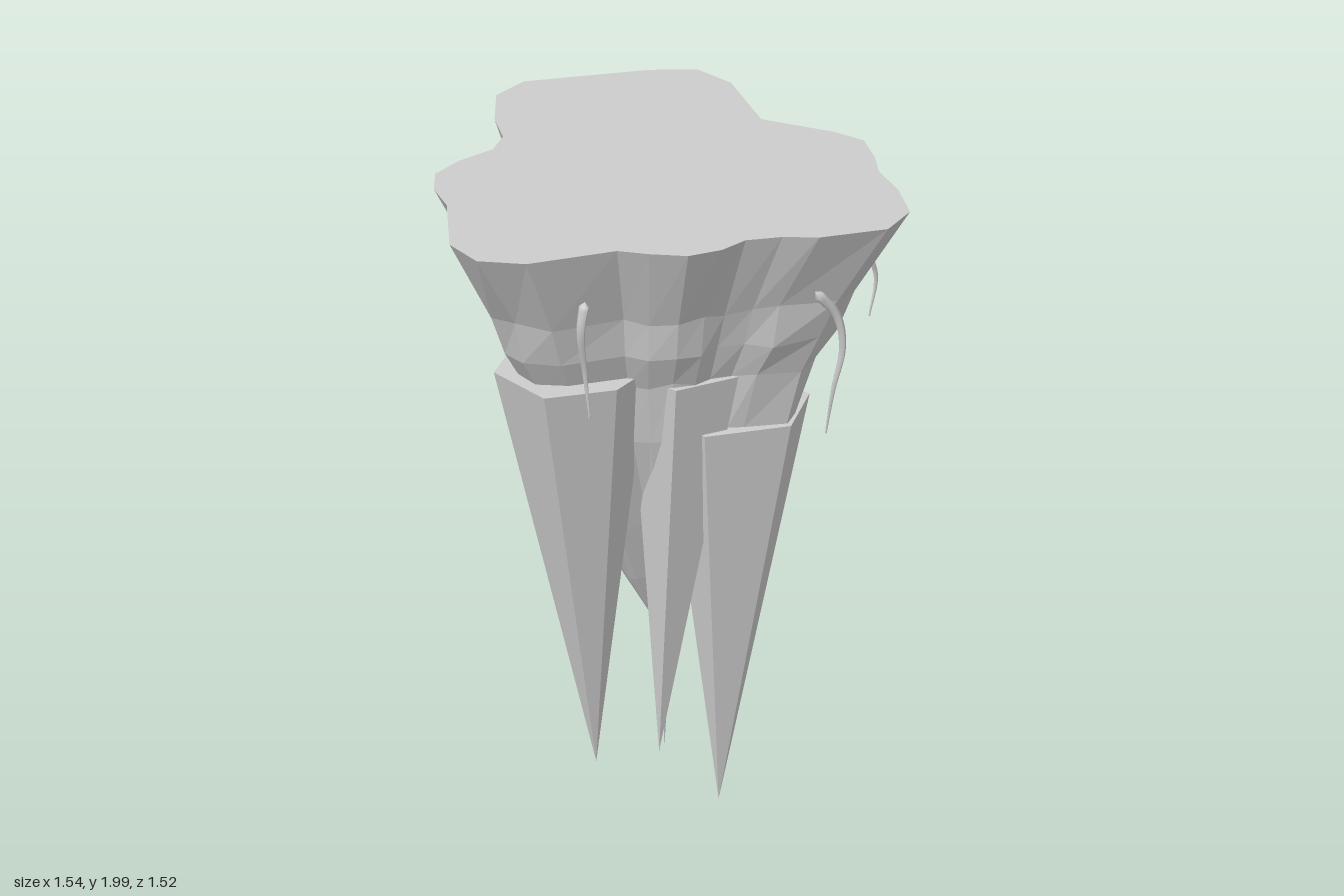
import * as THREE from 'three';

const stone = new THREE.MeshStandardMaterial({ color: 0xcccccc, flatShading: true });
stone.name = 'paleStone';
const rootMat = new THREE.MeshStandardMaterial({ color: 0xcccccc });
rootMat.name = 'paleRoot';

// Island rim as [x, z], anticlockwise seen from above
const rim = [
  [-0.04, 0.76], [0.09, 0.68], [0.24, 0.43], [0.33, 0.385], [0.43, 0.32], [0.48, 0.22],
  [0.49, 0.12], [0.56, 0.03], [0.65, -0.04], [0.77, -0.22], [0.74, -0.36], [0.61, -0.46],
  [0.48, -0.525], [0.4, -0.6], [0.3, -0.67], [0.19, -0.66], [-0.04, -0.59], [-0.28, -0.735],
  [-0.42, -0.745], [-0.53, -0.65], [-0.77, -0.34], [-0.77, -0.21], [-0.66, -0.07],
  [-0.56, 0.01], [-0.525, 0.1], [-0.55, 0.23], [-0.545, 0.35], [-0.475, 0.44],
  [-0.37, 0.505], [-0.18, 0.72],
];

// Small repeatable unevenness, -1 to 1
const rough = (n) => {
  const s = Math.sin(n * 127.1) * 43758.5453;
  return 2 * (s - Math.floor(s)) - 1;
};

// Skin stacked rings from top to bottom, closing on a tip
function loft(rings, tip) {
  const n = rings[0].length;
  const index = [];
  for (let r = 0; r < rings.length; r++) {
    for (let i = 0; i < n; i++) {
      const a = r * n + i, b = r * n + (i + 1) % n;
      if (r === rings.length - 1) index.push(a, rings.length * n, b);
      else index.push(a, a + n, b, b, a + n, b + n);
    }
  }
  const g = new THREE.BufferGeometry();
  g.setAttribute('position', new THREE.Float32BufferAttribute([...rings.flat(), tip].flat(), 3));
  g.setIndex(index);
  g.computeVertexNormals();
  return g;
}

// Flat horizontal lid on an outline
function lid(outline, y) {
  const shape = new THREE.Shape(outline.map(([x, z]) => new THREE.Vector2(x, -z)));
  return new THREE.ShapeGeometry(shape).rotateX(-Math.PI / 2).translate(0, y, 0);
}

function add(parent, name, geometry, material = stone) {
  const mesh = new THREE.Mesh(geometry, material);
  mesh.name = name;
  parent.add(mesh);
}

function spike(name, outline, y, tip) {
  const g = new THREE.Group();
  g.name = name;
  add(g, name + 'Sides', loft([outline.map(([x, z]) => [x, y, z])], tip));
  add(g, name + 'Top', lid(outline, y));
  return g;
}

// Tube that narrows along its path and closes at both ends
function root(points, radius) {
  const path = new THREE.CatmullRomCurve3(points.map((p) => new THREE.Vector3(...p)));
  const segs = 28, sides = 7;
  const g = new THREE.TubeGeometry(path, segs, radius, sides);
  const pos = g.attributes.position, v = new THREE.Vector3();
  for (let i = 0; i < pos.count; i++) {
    const t = Math.floor(i / (sides + 1)) / segs;
    const k = t === 0 ? 0 : 1 - 0.85 * t;
    const c = path.getPointAt(t);
    v.fromBufferAttribute(pos, i).sub(c).multiplyScalar(k).add(c);
    pos.setXYZ(i, v.x, v.y, v.z);
  }
  g.computeVertexNormals();
  return g;
}

export function createModel() {
  const model = new THREE.Group();
  model.name = 'floatingRock';

  // Rock body: rim shrunk level by level [height, scale, x shift, roughness]
  const levels = [
    [2, 1, 0, 0], [1.72, 0.78, 0, 0.015], [1.59, 0.725, 0, 0.012], [1.47, 0.635, 0, 0.015],
    [1.28, 0.55, 0.01, 0.015], [0.95, 0.33, 0.04, 0.01], [0.75, 0.18, 0.05, 0.005],
  ];
  const rings = levels.map(([y, s, dx, amount], l) => rim.map(([x, z], i) => {
    const k = s + amount * rough(l * 31 + i + 1);
    return [x * k + dx, y + amount * rough(l * 57 + i + 9), z * k];
  }));
  add(model, 'rockBody', loft(rings, [0.06, 0.53, 0]));
  add(model, 'rockTop', lid(rim, 2));

  // Hanging spikes
  model.add(spike('frontSpike',
    [[-0.18, 0.51], [0.06, 0.56], [0.19, 0.37], [0.17, 0.2], [-0.08, 0.08], [-0.28, 0.27]],
    1.5, [0, 0.16, 0.24]));
  model.add(spike('middleSpike',
    [[0.1, 0.2], [0.29, 0.21], [0.37, 0.01], [0.25, -0.05], [0.1, 0]],
    1.47, [0.14, 0.19, 0.11]));
  model.add(spike('sideSpike',
    [[0.09, 0.03], [0.32, 0.11], [0.47, -0.12], [0.36, -0.34], [0.07, -0.32]],
    1.29, [0.25, 0.01, -0.04]));
  model.add(spike('thinSpike',
    [[0.05, 0.02], [0.09, 0.02], [0.09, -0.02], [0.05, -0.02]],
    0.75, [0.07, 0.15, 0]));

  // Dangling roots
  const roots = [
    [[0.18, 1.84, 0.51], [0.18, 1.75, 0.53], [0.175, 1.6, 0.505], [0.19, 1.45, 0.5]],
    [[0.64, 1.82, -0.03], [0.675, 1.73, -0.09], [0.685, 1.62, -0.105], [0.665, 1.48, -0.085], [0.64, 1.33, -0.08]],
    [[-0.06, 1.83, -0.59], [-0.05, 1.72, -0.615], [-0.03, 1.5, -0.65], [-0.04, 1.3, -0.62], [-0.04, 1.11, -0.54]],
    [[-0.17, 1.81, -0.66], [-0.12, 1.78, -0.68], [-0.11, 1.66, -0.65], [-0.13, 1.48, -0.67], [-0.12, 1.17, -0.63]],
    [[-0.38, 1.87, -0.69], [-0.43, 1.87, -0.74], [-0.46, 1.79, -0.73], [-0.45, 1.67, -0.72], [-0.46, 1.51, -0.75]],
    [[0.26, 1.8, -0.63], [0.31, 1.8, -0.67], [0.32, 1.68, -0.65], [0.33, 1.55, -0.69], [0.32, 1.42, -0.67]],
  ];
  roots.forEach((p, i) => add(model, 'root' + (i + 1), root(p, i === 4 ? 0.022 : 0.017), rootMat));

  return model;
}
